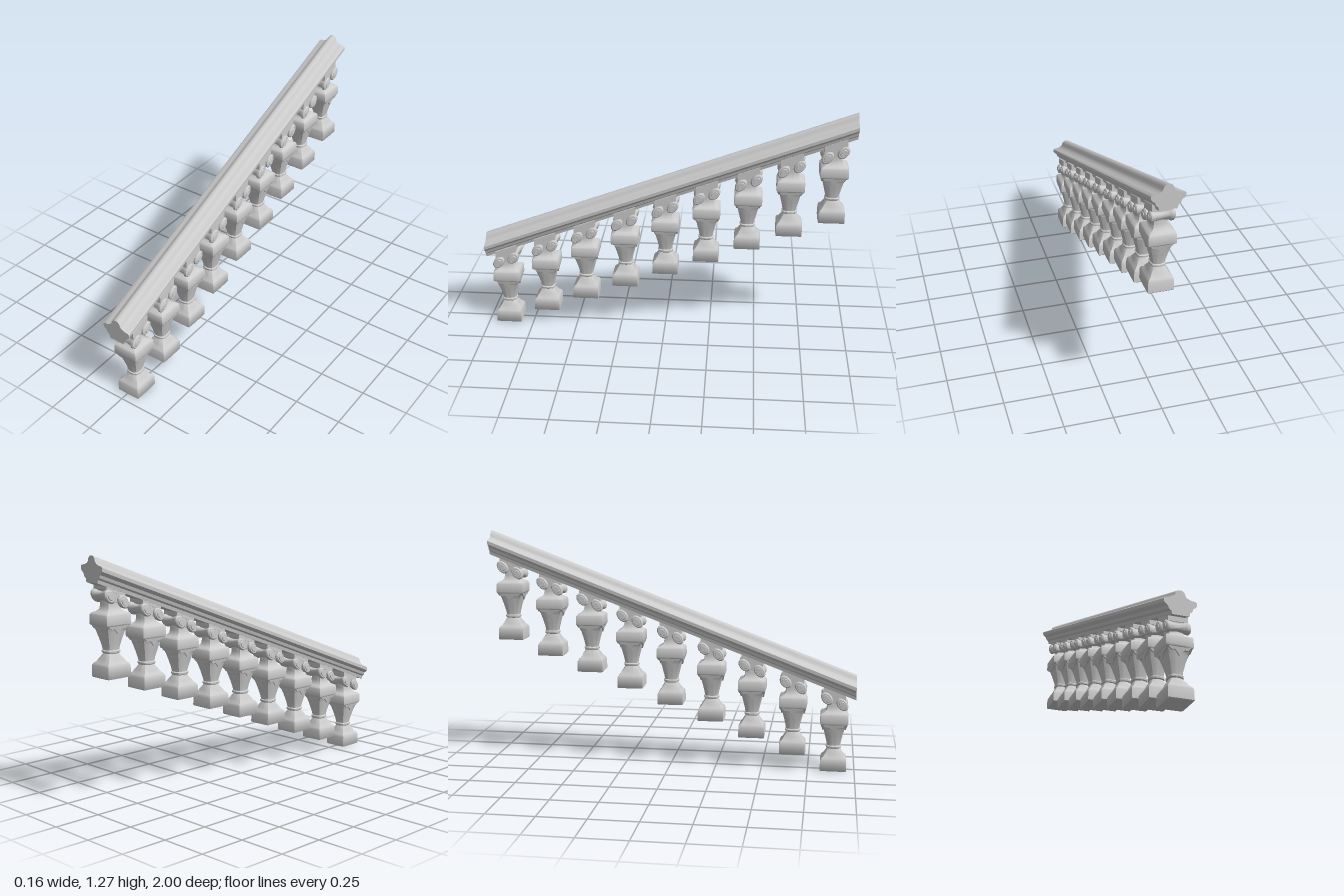
import * as THREE from 'three';
import { toCreasedNormals } from 'three/addons/utils/BufferGeometryUtils.js';

const SLOPE = 0.375;
const stone = new THREE.MeshStandardMaterial({ color: 0xcccccc, side: THREE.DoubleSide });

function addMesh(parent, geometry, name, crease = 0.6) {
  const mesh = new THREE.Mesh(toCreasedNormals(geometry, crease), stone);
  mesh.name = name;
  parent.add(mesh);
  return mesh;
}

// Slides every vertex up or down so the shape follows the stair pitch
function shear(geometry) {
  const p = geometry.attributes.position;
  for (let i = 0; i < p.count; i++) p.setY(i, p.getY(i) - SLOPE * p.getZ(i));
  return geometry;
}

// Turned profile [half width, height, squareness] pushed out towards a rounded square
function squareTurned(profile) {
  const seg = 32;
  const geo = new THREE.LatheGeometry(profile.map(([r, y]) => new THREE.Vector2(r, y)), seg);
  const p = geo.attributes.position;
  for (let i = 0; i < p.count; i++) {
    const sq = profile[i % profile.length][2];
    const x = p.getX(i), z = p.getZ(i), r = Math.hypot(x, z);
    if (r < 1e-6) continue;
    const k = 1 + sq * (r / Math.max(Math.abs(x), Math.abs(z)) - 1);
    p.setXYZ(i, x * k, p.getY(i), z * k * 1.08);
  }
  return geo;
}

// Moulded handrail section, mirrored about x = 0
function railGeometry() {
  const half = [
    [0.043, 0], [0.047, 0.018], [0.058, 0.026], [0.063, 0.042], [0.074, 0.05],
    [0.081, 0.058], [0.082, 0.076], [0.074, 0.082], [0.055, 0.084], [0.036, 0.092],
    [0.027, 0.102], [0.023, 0.116], [0.013, 0.127], [0, 0.13],
  ];
  const left = half.slice(0, -1).reverse().map(([x, y]) => [-x, y]);
  const shape = new THREE.Shape([...half, ...left].map(([x, y]) => new THREE.Vector2(x, y)));
  const geo = new THREE.ExtrudeGeometry(shape, { depth: 2, bevelEnabled: false });
  geo.translate(0, 0.395 + SLOPE, -1);
  return shear(geo);
}

function createBaluster() {
  const g = new THREE.Group();
  // Plinth, waist ring, vase, square block and neck
  addMesh(g, squareTurned([
    [0, 0, 1], [0.063, 0, 0.93], [0.066, 0.004, 0.93], [0.065, 0.058, 0.93], [0.06, 0.07, 0.9],
    [0.052, 0.078, 0.8], [0.047, 0.092, 0.6], [0.038, 0.108, 0.4], [0.033, 0.118, 0.3],
    [0.038, 0.122, 0.3], [0.039, 0.131, 0.3], [0.034, 0.136, 0.3], [0.037, 0.155, 0.35],
    [0.045, 0.19, 0.45], [0.053, 0.225, 0.6], [0.058, 0.25, 0.8], [0.068, 0.258, 0.93],
    [0.07, 0.265, 0.93], [0.069, 0.308, 0.93], [0.064, 0.316, 0.9], [0.05, 0.324, 0.75],
    [0.04, 0.335, 0.6], [0.036, 0.355, 0.6], [0.036, 0.42, 0.6], [0, 0.42, 1],
  ]), 'balusterBody', 0.7);

  // Pointed drape under the block on each face
  const drape = new THREE.Shape();
  drape.moveTo(-0.056, 0.26);
  drape.quadraticCurveTo(-0.045, 0.236, -0.027, 0.244);
  drape.quadraticCurveTo(-0.015, 0.24, 0, 0.216);
  drape.quadraticCurveTo(0.015, 0.24, 0.027, 0.244);
  drape.quadraticCurveTo(0.045, 0.236, 0.056, 0.26);
  for (let i = 0; i < 4; i++) {
    const geo = new THREE.ExtrudeGeometry(drape, { depth: 0.025, bevelEnabled: false, curveSegments: 5 });
    const p = geo.attributes.position;
    // Lean the lower tip inwards with the vase
    for (let j = 0; j < p.count; j++) p.setZ(j, p.getZ(j) + 0.042 - (0.26 - p.getY(j)) * 0.2);
    geo.rotateY(i * Math.PI / 2);
    geo.scale(1, 1, 1.08);
    addMesh(g, geo, 'drape');
  }

  // Paired scrolls, pinched in the middle, stepped along the pitch
  const scroll = [[0, -0.065], [0.016, -0.065], [0.018, -0.061], [0.026, -0.061], [0.032, -0.055],
    [0.032, -0.043], [0.025, -0.033], [0.021, 0], [0.025, 0.033], [0.032, 0.043], [0.032, 0.055],
    [0.026, 0.061], [0.018, 0.061], [0.016, 0.065], [0, 0.065]];
  for (const s of [-1, 1]) {
    const geo = new THREE.LatheGeometry(scroll.map(([r, y]) => new THREE.Vector2(r, y)), 18);
    geo.rotateZ(Math.PI / 2);
    geo.translate(0, 0.384, s * 0.041);
    addMesh(g, shear(geo), 'scroll', 0.7);
  }

  // Sloping core and cap that meet the rail
  const core = new THREE.BoxGeometry(0.09, 0.05, 0.09);
  core.translate(0, 0.395, 0);
  addMesh(g, shear(core), 'capitalCore');
  const cap = new THREE.BoxGeometry(0.1, 0.04, 0.116);
  cap.translate(0, 0.432, 0);
  addMesh(g, shear(cap), 'capitalSlab');
  return g;
}

export function createModel() {
  const model = new THREE.Group();
  model.name = 'stairBalustrade';
  addMesh(model, railGeometry(), 'handrail');
  const baluster = createBaluster();
  for (let i = 0; i < 9; i++) {
    const copy = baluster.clone();
    copy.name = 'baluster';
    copy.position.set(0.009, 0.0845 * i, 0.887 - 0.222 * i);
    model.add(copy);
  }
  return model;
}
